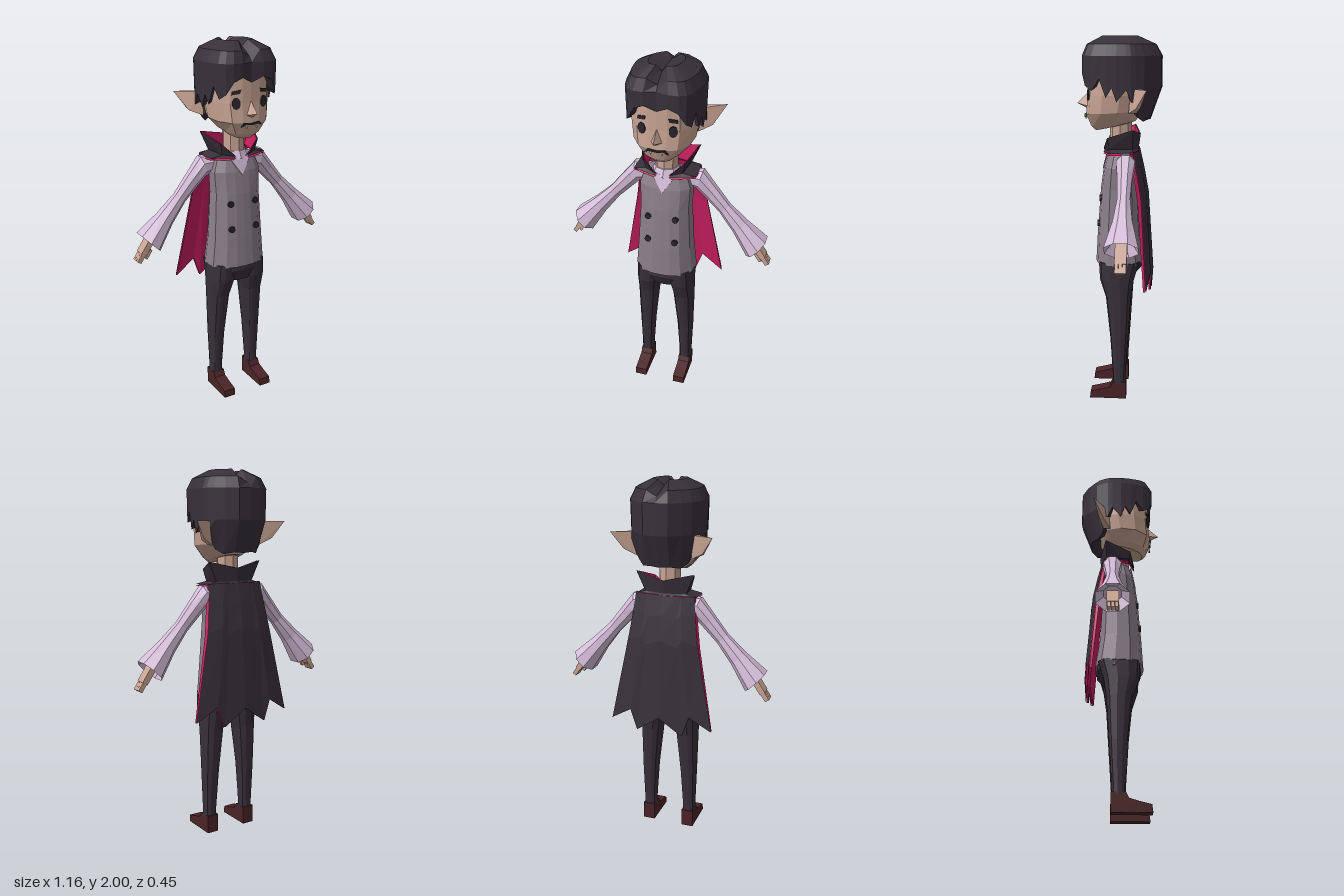
import * as THREE from 'three';
import { ConvexGeometry } from 'three/addons/geometries/ConvexGeometry.js';

const mat = (name, color, side = THREE.FrontSide) => {
  const m = new THREE.MeshStandardMaterial({ color, side });
  m.name = name;
  return m;
};

// Flat-shaded geometry from a list of triangles
function fromTriangles(tris) {
  const a = new THREE.Vector3(), b = new THREE.Vector3(), c = new THREE.Vector3();
  const kept = [];
  let volume = 0;
  for (const t of tris) {
    a.fromArray(t[0]); b.fromArray(t[1]); c.fromArray(t[2]);
    volume += a.dot(b.clone().cross(c));
    if (b.clone().sub(a).cross(c.clone().sub(a)).length() > 1e-9) kept.push(t);
  }
  const g = new THREE.BufferGeometry();
  const flat = kept.flatMap(t => (volume < 0 ? [t[0], t[2], t[1]] : t)).flat();
  g.setAttribute('position', new THREE.Float32BufferAttribute(flat, 3));
  g.computeVertexNormals();
  return g;
}

// Closed solid through a series of rings, capped at both ends
function loft(rings) {
  const tris = [], n = rings[0].length;
  for (let r = 0; r < rings.length - 1; r++) for (let i = 0; i < n; i++) {
    const j = (i + 1) % n, p = rings[r], q = rings[r + 1];
    tris.push([p[i], p[j], q[j]], [p[i], q[j], q[i]]);
  }
  const cap = (ring, flip) => {
    const c = [0, 1, 2].map(k => ring.reduce((s, p) => s + p[k], 0) / n);
    ring.forEach((p, i) => {
      const q = ring[(i + 1) % n];
      tris.push(flip ? [c, q, p] : [c, p, q]);
    });
  };
  cap(rings[0], true);
  cap(rings[rings.length - 1], false);
  return fromTriangles(tris);
}

// Open strip of cloth between neighbouring rows of points
function sheet(rows) {
  const tris = [];
  for (let r = 0; r < rows.length - 1; r++) for (let i = 0; i < rows[r].length - 1; i++) {
    const p = rows[r], q = rows[r + 1];
    tris.push([p[i], p[i + 1], q[i + 1]], [p[i], q[i + 1], q[i]]);
  }
  return fromTriangles(tris);
}

// Body cross-section: half outline mirrored across x
const HALF = [[0, 1], [0.3, 0.98], [0.65, 0.85], [0.95, 0.4], [1, -0.2], [0.8, -0.75], [0.35, -1], [0, -1]];
const mirrorLoop = half => [...half, ...half.slice(1, -1).reverse().map(([x, ...r]) => [-x, ...r])];
const section = (y, hw, zf, zb, yBack = y, cx = 0) => mirrorLoop(HALF).map(([u, v]) =>
  [cx + u * hw, y + (yBack - y) * (1 - v) / 2, (zf + zb) / 2 + v * (zf - zb) / 2]);

export function createModel() {
  const root = new THREE.Group();
  root.name = 'capedFigure';
  const charcoal = mat('charcoal', 0x37303a, THREE.DoubleSide);
  const crimson = mat('crimson', 0xc41d5e, THREE.DoubleSide);
  const skin = mat('skin', 0xc9a594);
  const lilac = mat('lilacShirt', 0xd4bcd8);
  const grey = mat('greyVest', 0x8b7e89);
  const brown = mat('brownLeather', 0x4b2326);
  const ink = mat('ink', 0x2a252c);
  const white = mat('white', 0xf0ecee);
  const add = (name, geometry, material, parent = root) => {
    const m = new THREE.Mesh(geometry, material);
    m.name = name;
    parent.add(m);
    return m;
  };
  const cylinder = (rt, rb, h, n) => {
    const g = new THREE.CylinderGeometry(rt, rb, h, n).toNonIndexed();
    g.computeVertexNormals();
    return g;
  };
  const plate = (pts, depth) => new THREE.ExtrudeGeometry(
    new THREE.Shape(pts.map(p => new THREE.Vector2(...p))), { depth, bevelEnabled: false });

  // Head and nose
  add('head', loft([
    section(1.51, 0.075, 0.125, -0.09, 1.56), section(1.535, 0.105, 0.15, -0.1, 1.575),
    section(1.6, 0.155, 0.174, -0.12, 1.62), section(1.7, 0.168, 0.166, -0.14),
    section(1.88, 0.165, 0.165, -0.17)]), skin);
  add('nose', new ConvexGeometry([[0, 1.715, 0.16], [0.032, 1.637, 0.16], [-0.032, 1.637, 0.16],
    [0, 1.652, 0.225], [0, 1.622, 0.165]].map(p => new THREE.Vector3(...p))), skin);

  // Hair: half outline as [x, z, hairline height], with a jagged fringe and a parting
  const hairLine = mirrorLoop([[0, 0.168, 1.8], [0.06, 0.185, 1.83], [0.11, 0.183, 1.81], [0.145, 0.165, 1.75],
    [0.165, 0.13, 1.725], [0.175, 0.09, 1.785], [0.183, 0.055, 1.69], [0.187, 0.025, 1.74], [0.19, 0, 1.67],
    [0.19, -0.05, 1.73], [0.188, -0.075, 1.67], [0.18, -0.1, 1.67], [0.16, -0.14, 1.59], [0.12, -0.18, 1.565],
    [0.065, -0.225, 1.575], [0, -0.23, 1.57]]);
  const groove = (x, d) => (Math.abs(x) < 0.01 ? d : 0);
  add('hair', loft([
    hairLine.map(([x, z, y]) => [x * 0.8, y + 0.02, z * (z < -0.12 ? 0.6 : 0.82)]),
    hairLine.map(([x, z, y]) => [x * (z < -0.12 ? 0.85 : 1), y, z * (z < -0.12 ? 0.74 : 1)]),
    hairLine.map(([x, z, y]) => [x, Math.max(y + 0.03, 1.74), z]),
    hairLine.map(([x, z]) => [x * 1.02, 1.9, z]),
    hairLine.map(([x, z]) => [x * 0.87, 1.958 - groove(x, 0.03), z * 0.87]),
    hairLine.map(([x, z]) => [x * 0.45, 2 - groove(x, 0.03), z * 0.45]),
    hairLine.map(([x, z]) => [0, 1.97, z * 0.42])]), charcoal);

  // Mouth
  add('mouth', plate([[-0.062, 1.582], [-0.045, 1.603], [0, 1.598], [0.045, 1.603], [0.062, 1.582],
    [0.04, 1.592], [0, 1.588], [-0.04, 1.592]], 0.009), ink).position.z = 0.17;

  // Neck and shirt front
  add('neck', cylinder(0.06, 0.06, 0.18, 8), skin).position.set(0, 1.47, -0.01);
  add('shirtCollar', cylinder(0.066, 0.085, 0.04, 8), lilac).position.set(0, 1.405, -0.01);
  const bib = add('shirtFront', plate([[0, 0], [0.065, 0.1], [-0.065, 0.1]], 0.006), lilac);
  bib.position.set(0, 1.3, 0.083);
  bib.rotation.x = -0.28;

  // Vest and hips
  add('vest', loft([section(0.79, 0.17, 0.125, -0.135), section(0.95, 0.155, 0.116, -0.112),
    section(1.2, 0.14, 0.097, -0.1), section(1.32, 0.145, 0.08, -0.09), section(1.4, 0.115, 0.055, -0.08)]), grey);
  add('hips', loft([section(0.69, 0.1, 0.08, -0.07), section(0.76, 0.166, 0.112, -0.128),
    section(0.82, 0.155, 0.105, -0.12)]), charcoal);

  for (const s of [1, -1]) {
    const side = s > 0 ? 'left' : 'right';

    // Face details and ear
    const eye = add(side + 'Eye', cylinder(0.025, 0.025, 0.008, 10).rotateX(Math.PI / 2).scale(0.9, 1.2, 1), ink);
    eye.position.set(s * 0.08, 1.7, 0.154);
    eye.rotation.y = s * 0.33;
    const brow = add(side + 'Brow', plate([[-0.025 * s, 0.012], [-0.018 * s, -0.008], [0.026 * s, -0.014],
      [0.022 * s, 0.004]], 0.008), ink);
    brow.position.set(s * 0.078, 1.757, 0.149);
    brow.rotation.y = s * 0.33;
    add(side + 'Fang', plate([[s * 0.024, 1.592], [s * 0.036, 1.592], [s * 0.03, 1.572]], 0.008), white)
      .position.z = 0.17;
    add(side + 'Ear', new ConvexGeometry([[0.15, 1.735, -0.07], [0.15, 1.735, -0.11], [0.15, 1.61, -0.06],
      [0.15, 1.61, -0.1], [0.215, 1.638, -0.1], [0.215, 1.645, -0.125], [0.275, 1.735, -0.157]]
      .map(([x, y, z]) => new THREE.Vector3(s * x, y, z))), skin);

    // Sleeve: [x, y, half height, half depth, tilt], flared and hollow at the cuff
    add(side + 'Sleeve', loft([[0.09, 1.355, 0.04, 0.045, 0], [0.175, 1.345, 0.056, 0.05, 0.25],
      [0.235, 1.275, 0.042, 0.038, 0.8], [0.31, 1.19, 0.036, 0.033, 0.82], [0.4, 1.09, 0.047, 0.05, 0.8],
      [0.5, 0.975, 0.071, 0.086, 0.78], [0.455, 1.02, 0.04, 0.045, 0.78]].map(([x, y, a, b, t]) =>
      Array.from({ length: 8 }, (_, i) => {
        const k = (i + 0.5) * Math.PI / 4, h = Math.cos(k) * a * 1.08;
        return [s * (x + h * Math.sin(t)), y + h * Math.cos(t), -0.047 + Math.sin(k) * b * 1.08];
      }))), lilac);

    // Hand
    const hand = new THREE.Group();
    hand.name = side + 'Hand';
    hand.position.set(s * 0.5, 0.98, -0.047);
    hand.rotation.z = s * 0.6;
    root.add(hand);
    add('palm', new THREE.BoxGeometry(0.032, 0.11, 0.06).translate(0, -0.02, 0), skin, hand);
    for (const z of [-0.019, 0, 0.019])
      add('finger', new THREE.BoxGeometry(0.024, 0.055, 0.018).translate(0, -0.095, z), skin, hand);
    add('thumb', new THREE.BoxGeometry(0.016, 0.055, 0.02).translate(-s * 0.022, -0.06, 0.022), skin, hand);

    // Leg and shoe
    add(side + 'Leg', loft([[0.09, 0.12, 0.036, 0.026, -0.046], [0.14, 0.12, 0.036, 0.026, -0.046],
      [0.36, 0.116, 0.046, 0.04, -0.06], [0.6, 0.105, 0.06, 0.065, -0.075], [0.7, 0.096, 0.07, 0.098, -0.09],
      [0.8, 0.086, 0.078, 0.105, -0.12]]
      .map(([y, cx, hw, zf, zb]) => section(y, hw, zf, zb, y, s * cx))), charcoal);
    const shoe = plate([[-0.05, 0], [0.155, 0], [0.15, 0.04], [0.09, 0.055], [0.04, 0.07], [0.024, 0.1],
      [-0.05, 0.1]], 0.068).translate(0, 0, -0.034).rotateY(-Math.PI / 2);
    add(side + 'Shoe', shoe, brown).position.x = s * 0.12;

    // Vest buttons
    for (const [y, z] of [[1.15, 0.092], [1.01, 0.104]])
      add(side + 'Button', cylinder(0.018, 0.018, 0.016, 8).rotateX(Math.PI / 2), ink).position.set(s * 0.075, y, z);

    // Stand-up collar and shoulder yoke, each with a crimson lining
    const low = [[0.035, 1.405, 0.075], [0.1, 1.415, 0.045], [0.115, 1.42, -0.08], [0, 1.42, -0.108]];
    const high = [[0.05, 1.418, 0.078], [0.115, 1.478, 0.055], [0.162, 1.525, -0.085], [0, 1.49, -0.118]];
    const hem = [[0.05, 1.398, 0.08], [0.168, 1.402, 0.04], [0.17, 1.402, -0.085], [0, 1.4, -0.116]];
    const place = (pts, k = 1, dy = 0) => pts.map(([x, y, z]) => [s * x * k, y + dy, z * k]);
    add(side + 'Collar', sheet([place(low), place(high)]), charcoal);
    add(side + 'CollarLining', sheet([place(low, 0.95), place(high, 0.95)]), crimson);
    add(side + 'Yoke', sheet([place(low), place(hem)]), charcoal);
    add(side + 'YokeLining', sheet([place(low, 1, -0.01), place(hem, 1, -0.01)]), crimson);
  }

  // Cape: columns as [x at hem, y at hem], falling in four rows to a ragged hem
  const columns = [[-0.29, 0.69], [-0.17, 0.765], [-0.13, 0.65], [0, 0.74], [0.13, 0.65], [0.17, 0.765], [0.29, 0.69]];
  const rows = [[0, -0.112], [0.15, -0.135], [0.35, -0.16], [1, -0.19]];
  const drape = dz => columns.map(([x, y]) => rows.map(([k, z]) => [
    x / 0.29 * (0.165 + 0.125 * Math.pow(k, 1.3)), 1.41 + (y - 1.41) * k, z + 0.03 * (x / 0.29) ** 2 + dz]));
  const front = drape(0.012), back = drape(0);
  add('capeLining', loft(front.map((c, i) => [...c, ...back[i].slice().reverse()])), crimson);
  add('cape', sheet(drape(-0.004)), charcoal);

  return root;
}
